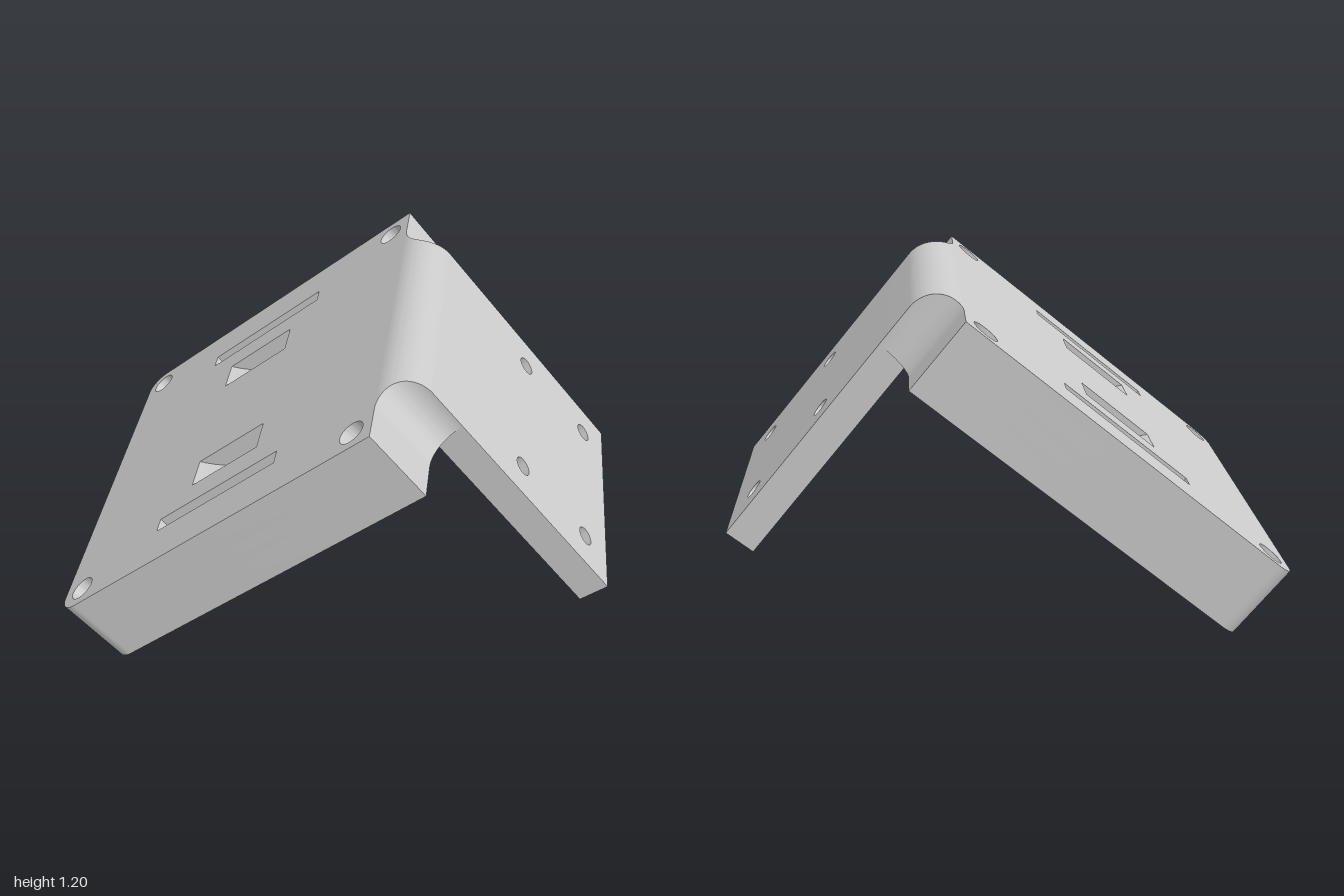
import * as THREE from 'three';
import { toCreasedNormals } from 'three/addons/utils/BufferGeometryUtils.js';

const material = new THREE.MeshStandardMaterial({ color: 0xcccccc });

// Local frame: x along the slab, y through its thickness, z across.
const LENGTH = 1.481, HALF = 0.74, THICK = 0.298;
const FLAP_HALF = 0.46, ROUND = 0.13, POCKET = 0.116, WINDOW_FLOOR = 0.19;

function polygon(points) {
  return new THREE.Path(points.map(([x, y]) => new THREE.Vector2(x, y)));
}

function rect(x0, x1, y0, y1) {
  return polygon([[x0, y0], [x0, y1], [x1, y1], [x1, y0]]);
}

function circle(x, y, r) {
  return new THREE.Path().absarc(x, y, r, 0, Math.PI * 2, true);
}

function mesh(name, geometry) {
  const m = new THREE.Mesh(toCreasedNormals(geometry, 0.5), material);
  m.name = name;
  return m;
}

// Slab outline with two rounded lower corners and four bolt holes
function slabLayer(name, y0, y1, openings) {
  const r = 0.08, s = new THREE.Shape();
  s.moveTo(LENGTH, -HALF);
  s.lineTo(LENGTH, HALF);
  s.lineTo(r, HALF);
  s.absarc(r, HALF - r, r, Math.PI / 2, Math.PI, false);
  s.lineTo(0, -HALF + r);
  s.absarc(r, -HALF + r, r, Math.PI, Math.PI * 1.5, false);
  for (const x of [0.09, 1.392])
    for (const z of [-0.655, 0.655]) s.holes.push(circle(x, z, 0.05));
  s.holes.push(...openings);
  const g = new THREE.ExtrudeGeometry(s, { depth: y1 - y0, bevelEnabled: false, curveSegments: 20 });
  g.rotateX(-Math.PI / 2).translate(0, y0, 0);
  return mesh(name, g);
}

// Rounded ridge that narrows from the slab to the flap through concave fillets
function ridge() {
  const pos = [], index = [], steps = 28;
  for (let i = 0; i <= steps; i++) {
    const w = (1 - Math.cos((Math.PI * i) / steps)) / 2;
    const x = LENGTH + ROUND * w;
    const top = THICK - ROUND + ROUND * Math.sqrt(Math.max(0, 1 - w * w));
    const z = FLAP_HALF + ROUND - ROUND * Math.sqrt(Math.max(0, 1 - (1 - w) ** 2));
    pos.push(x, 0, -z, x, top, -z, x, top, z, x, 0, z);
  }
  for (let i = 0; i < steps; i++)
    for (let j = 0; j < 4; j++) {
      const a = i * 4 + j, b = i * 4 + ((j + 1) % 4);
      index.push(a, b, b + 4, a, b + 4, a + 4);
    }
  const e = steps * 4;
  index.push(e, e + 1, e + 2, e, e + 2, e + 3);
  const g = new THREE.BufferGeometry();
  g.setAttribute('position', new THREE.Float32BufferAttribute(pos, 3));
  g.setIndex(index);
  g.computeVertexNormals();
  return mesh('ridge', g);
}

// Thin flap at a right angle to the slab, with four screw holes
function flap() {
  const s = new THREE.Shape([
    [-FLAP_HALF, -0.89], [FLAP_HALF, -0.89], [FLAP_HALF, 0], [-FLAP_HALF, 0],
  ].map(([x, y]) => new THREE.Vector2(x, y)));
  for (const z of [-0.315, 0.315])
    for (const y of [-0.348, -0.748]) s.holes.push(circle(z, y, 0.037));
  const g = new THREE.ExtrudeGeometry(s, { depth: 0.12, bevelEnabled: false, curveSegments: 16 });
  g.rotateY(Math.PI / 2).translate(LENGTH + ROUND - 0.12, 0, 0);
  return mesh('flap', g);
}

// Curved floor that dips along the length of a window
function windowFloor(x0, x1, z0, z1) {
  const s = new THREE.Shape();
  const mid = (x0 + x1) / 2, dip = 0.1;
  s.moveTo(x0, WINDOW_FLOOR);
  s.lineTo(x1, WINDOW_FLOOR);
  s.lineTo(x1, THICK);
  s.quadraticCurveTo(mid, THICK - 2 * dip, x0, THICK);
  const g = new THREE.ExtrudeGeometry(s, { depth: z1 - z0, bevelEnabled: false, curveSegments: 16 });
  g.translate(0, 0, z0);
  return mesh('windowFloor', g);
}

export function createModel() {
  const body = new THREE.Group();
  body.name = 'bracket';

  // Underside pocket joined to the two slots
  const pocket = () => {
    const half = [[0.417, 0.497], [0.45, 0.497], [0.45, 0.56], [1.03, 0.56], [1.03, 0.497], [1.08, 0.497]];
    return polygon([...half, ...half.map(([x, z]) => [x, -z]).reverse()]);
  };
  const slots = () => [rect(0.453, 1.028, 0.495, 0.56), rect(0.453, 1.028, -0.56, -0.495)];
  const windows = [[0.582, 0.906, 0.245, 0.385], [0.582, 0.906, -0.385, -0.245]];

  body.add(
    slabLayer('slabUnderside', 0, POCKET, [pocket()]),
    slabLayer('slabCore', POCKET, WINDOW_FLOOR, slots()),
    slabLayer('slabTop', WINDOW_FLOOR, THICK, [...slots(), ...windows.map((w) => rect(...w))]),
    ridge(),
    flap(),
    ...windows.map((w) => windowFloor(...w)),
  );

  // Lean the bracket so it rests on the lower edge of the slab
  body.rotation.z = THREE.MathUtils.degToRad(39.4);
  body.position.set(-0.81, 0, 0);

  const model = new THREE.Group();
  model.name = 'angledBracket';
  model.add(body);
  return model;
}
